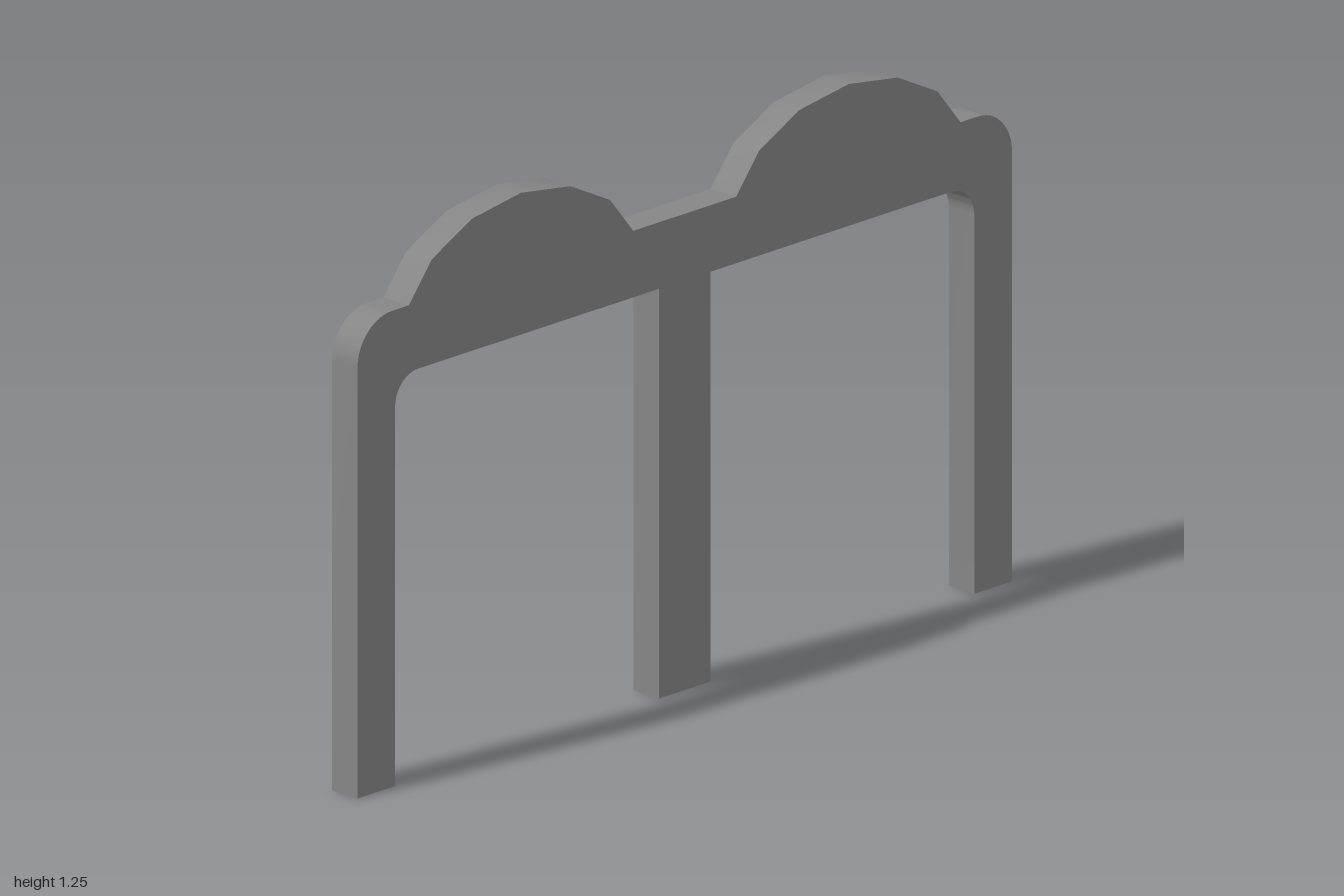
import * as THREE from 'three';
import { toCreasedNormals } from 'three/addons/utils/BufferGeometryUtils.js';

const DEPTH = 0.076;
const HALF = 1, INNER = 0.885, POST = 0.078; // outer edge, inner edge of end legs, half width of middle leg
const RAIL_TOP = 1.075, RAIL_BOTTOM = 0.925;
const R_OUT = 0.105, R_IN = 0.07;

// Faceted dome on the rail, traced from left to right
function addDome(shape, cx) {
  const step = THREE.MathUtils.degToRad(25), rx = 0.355, ry = 0.232, top = 1.245;
  for (let i = -3; i <= 3; i++) {
    const y = Math.abs(i) === 3 ? RAIL_TOP : top - ry * (1 - Math.cos(i * step));
    shape.lineTo(cx + rx * Math.sin(i * step), y);
  }
}

export function createModel() {
  const group = new THREE.Group();
  group.name = 'doubleArchFrame';

  // Top edge: left end leg, rounded shoulder, two domes, right shoulder
  const s = new THREE.Shape();
  s.moveTo(-HALF, 0);
  s.lineTo(-HALF, RAIL_TOP - R_OUT);
  s.absarc(-HALF + R_OUT, RAIL_TOP - R_OUT, R_OUT, Math.PI, Math.PI / 2, true);
  addDome(s, -0.5);
  addDome(s, 0.5);
  s.lineTo(HALF - R_OUT, RAIL_TOP);
  s.absarc(HALF - R_OUT, RAIL_TOP - R_OUT, R_OUT, Math.PI / 2, 0, true);

  // Underside: right opening, middle leg, left opening
  s.lineTo(HALF, 0);
  s.lineTo(INNER, 0);
  s.lineTo(INNER, RAIL_BOTTOM - R_IN);
  s.absarc(INNER - R_IN, RAIL_BOTTOM - R_IN, R_IN, 0, Math.PI / 2, false);
  s.lineTo(POST, RAIL_BOTTOM);
  s.lineTo(POST, 0);
  s.lineTo(-POST, 0);
  s.lineTo(-POST, RAIL_BOTTOM);
  s.lineTo(-INNER + R_IN, RAIL_BOTTOM);
  s.absarc(-INNER + R_IN, RAIL_BOTTOM - R_IN, R_IN, Math.PI / 2, Math.PI, false);
  s.lineTo(-INNER, 0);
  s.closePath();

  const geometry = new THREE.ExtrudeGeometry(s, { depth: DEPTH, bevelEnabled: false, curveSegments: 6 });
  geometry.translate(0, 0, -DEPTH / 2);

  const frame = new THREE.Mesh(
    toCreasedNormals(geometry, 0.6),
    new THREE.MeshStandardMaterial({ color: 0x858585 })
  );
  frame.name = 'frame';
  group.add(frame);
  return group;
}
